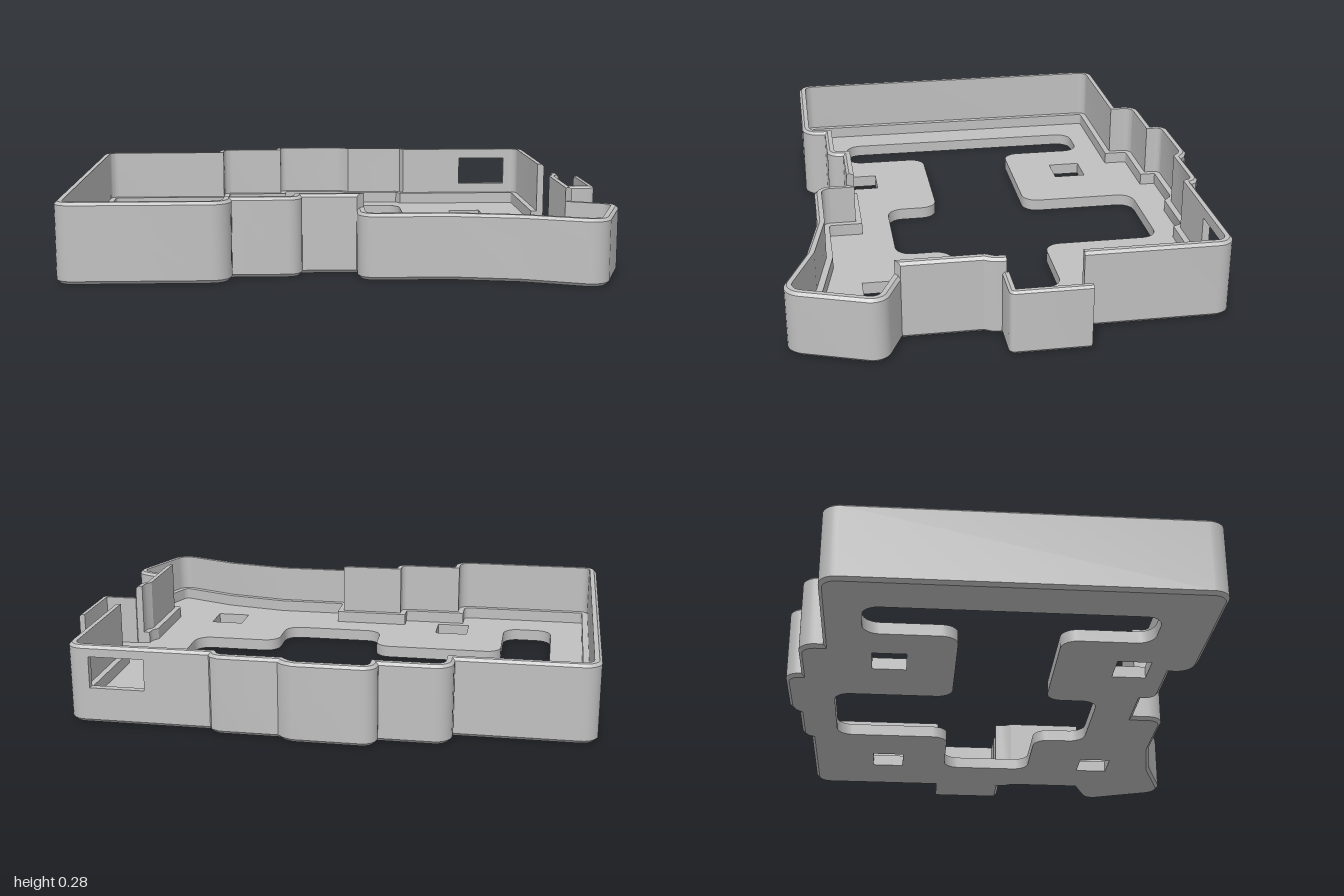
import * as THREE from 'three';
import { toCreasedNormals } from 'three/addons/utils/BufferGeometryUtils.js';

const FULL = 0.285, LOW = 0.235, FLOOR = 0.045, LEDGE = 0.09;

// Outer edges as [x, z, corner radius, name of the wall section starting here]
const BUMP = [[1, -0.2, 0, 'bump'], [1, 0.08, 0.02], [0.855, 0.08, 0]];
const RIM = [
  [0.855, 0.065, 0, 'side'], [0.855, 0.09, 0], [0.851, 0.115, 0], [0.836, 0.14, 0],
  [0.836, 0.418, 0, 'corner'], [0.996, 0.487, 0.06], [0.874, 0.822, 0.07],
  [0.6, 0.718, 0], [0.36, 0.673, 0], [0.043, 0.673, 0.06],
  [0.043, 0.547, 0, 'main'], [-0.15, 0.547, 0], [-0.15, 0.608, 0.05], [-0.395, 0.608, 0],
  [-0.395, 0.698, 0.07], [-1, 0.698, 0.06], [-1, -0.65, 0.06],
  [-0.507, -0.65, 0], [-0.507, -0.74, 0.06], [-0.257, -0.74, 0], [-0.257, -0.8, 0.05],
  [0.03, -0.8, 0], [0.065, -0.785, 0], [0.085, -0.765, 0],
  [0.295, -0.765, 0], [0.325, -0.75, 0], [0.335, -0.73, 0],
  [0.57, -0.73, 0, 'window'], [0.77, -0.73, 0, 'end'],
  [0.855, -0.73, 0.06], [0.855, -0.2, 0],
];

// Replace sharp corners by arcs
function roundCorners(points, closed) {
  const out = [], n = points.length;
  points.forEach(([x, z, r, section], i) => {
    const p = new THREE.Vector2(x, z);
    if (!r || (!closed && (i === 0 || i === n - 1))) {
      p.section = section;
      out.push(p);
      return;
    }
    const q = points[(i + n - 1) % n], s = points[(i + 1) % n];
    const u = new THREE.Vector2(q[0] - x, q[1] - z).normalize();
    const v = new THREE.Vector2(s[0] - x, s[1] - z).normalize();
    const half = Math.acos(u.dot(v)) / 2;
    const t = r / Math.tan(half);
    const centre = p.clone().addScaledVector(u.clone().add(v).normalize(), r / Math.sin(half));
    const a = p.clone().addScaledVector(u, t).sub(centre);
    const b = p.clone().addScaledVector(v, t).sub(centre);
    const sweep = Math.atan2(a.cross(b), a.dot(b));
    for (let k = 0; k <= 7; k++) {
      out.push(a.clone().rotateAround(new THREE.Vector2(), sweep * k / 7).add(centre));
    }
  });
  return out;
}

// Mitred inward direction at every point of an open path
function inwardNormals(path) {
  const normal = (a, b) => new THREE.Vector2(a.y - b.y, b.x - a.x).normalize();
  return path.map((p, i) => {
    const before = i > 0 ? normal(path[i - 1], p) : normal(p, path[1]);
    const after = i < path.length - 1 ? normal(p, path[i + 1]) : before;
    const m = before.clone().add(after);
    return m.multiplyScalar(2 / m.lengthSq());
  });
}

// Carry a closed profile of [inset, height] along part of a path
function sweepWall(path, normals, profile) {
  const pos = [];
  const rings = path.map((p, i) => profile.map(([d, y]) =>
    [p.x + normals[i].x * d, y, p.y + normals[i].y * d]));
  const tri = (a, b, c) => pos.push(...a, ...b, ...c);
  for (let i = 0; i < rings.length - 1; i++) {
    const a = rings[i], b = rings[i + 1];
    for (let j = 0; j < profile.length; j++) {
      const k = (j + 1) % profile.length;
      tri(a[j], a[k], b[k]);
      tri(a[j], b[k], b[j]);
    }
  }
  // End caps
  const flat = profile.map(([d, y]) => new THREE.Vector2(d, y));
  const first = rings[0], last = rings[rings.length - 1];
  for (const [a, b, c] of THREE.ShapeUtils.triangulateShape(flat, [])) {
    const ccw = flat[b].clone().sub(flat[a]).cross(flat[c].clone().sub(flat[a])) > 0;
    const [p, q] = ccw ? [b, c] : [c, b];
    tri(first[a], first[p], first[q]);
    tri(last[a], last[q], last[p]);
  }
  const g = new THREE.BufferGeometry();
  g.setAttribute('position', new THREE.Float32BufferAttribute(pos, 3));
  return toCreasedNormals(g, 0.5);
}

// Wall profiles: chamfered foot, chamfered rim, inner ledge
const ledgeWall = (h) => [
  [0.012, 0], [0, 0.012], [0, h - 0.01], [0.01, h],
  [0.027, h], [0.027, LEDGE], [0.05, LEDGE], [0.05, 0],
];
const plainWall = [[0.012, 0], [0, 0.012], [0, LOW - 0.008], [0.008, LOW], [0.022, LOW], [0.022, 0]];
const lintel = [[0, 0.245], [0, FULL - 0.01], [0.01, FULL], [0.027, FULL], [0.027, 0.245]];
const sill = [[0.012, 0], [0, 0.012], [0, 0.13], [0.027, 0.13], [0.027, LEDGE], [0.05, LEDGE], [0.05, 0]];
const SECTIONS = {
  bump: [['sideBumpWall', plainWall]],
  side: [['sideWall', ledgeWall(FULL)]],
  corner: [['lowCornerWall', ledgeWall(LOW)]],
  main: [['mainWall', ledgeWall(FULL)]],
  window: [['windowSill', sill], ['windowLintel', lintel]],
  end: [['endWall', ledgeWall(FULL)]],
};

export function createModel() {
  const model = new THREE.Group();
  model.name = 'openTray';
  const grey = new THREE.MeshStandardMaterial({ color: 0xc0c0c0 });
  grey.name = 'plain grey';
  const add = (name, geometry) => {
    const mesh = new THREE.Mesh(geometry, grey);
    mesh.name = name;
    model.add(mesh);
  };

  // Walls, section by section; the floor edge runs inside them
  const floorEdge = [];
  for (const outline of [BUMP, RIM]) {
    const path = roundCorners(outline, false);
    const normals = inwardNormals(path);
    const starts = path.map((p, i) => (p.section ? i : -1)).filter((i) => i >= 0);
    starts.forEach((from, s) => {
      const to = (starts[s + 1] ?? path.length - 1) + 1;
      for (const [name, profile] of SECTIONS[path[from].section]) {
        add(name, sweepWall(path.slice(from, to), normals.slice(from, to), profile));
      }
    });
    floorEdge.push(...path.map((p, i) => p.clone().addScaledVector(normals[i], 0.018)));
  }

  // Floor plate with the large joined opening and four square holes
  const toPlan = (points) => points.map((p) => new THREE.Vector2(p.x, -p.y));
  const floor = new THREE.Shape(toPlan(floorEdge));
  const cut = (points) => floor.holes.push(new THREE.Path(toPlan(roundCorners(points, true)).reverse()));
  cut([
    [-0.822, -0.512], [-0.625, -0.512], [-0.625, -0.177], [-0.114, -0.177],
    [-0.114, -0.624], [0.292, -0.624], [0.292, -0.177], [0.632, -0.177],
    [0.632, 0.183], [0.292, 0.183], [0.292, 0.384], [-0.114, 0.384],
    [-0.114, 0.183], [-0.625, 0.183], [-0.625, 0.505], [-0.822, 0.505],
  ].map(([x, z]) => [x, z, 0.06]));
  for (const x of [-0.472, 0.499]) {
    for (const z of [-0.48, 0.403]) {
      cut([[x, z], [x + 0.13, z], [x + 0.13, z + 0.125], [x, z + 0.125]]);
    }
  }
  const plate = new THREE.ExtrudeGeometry(floor, { depth: FLOOR, bevelEnabled: false });
  plate.rotateX(-Math.PI / 2);
  add('floorPlate', toCreasedNormals(plate, 0.5));

  return model;
}
